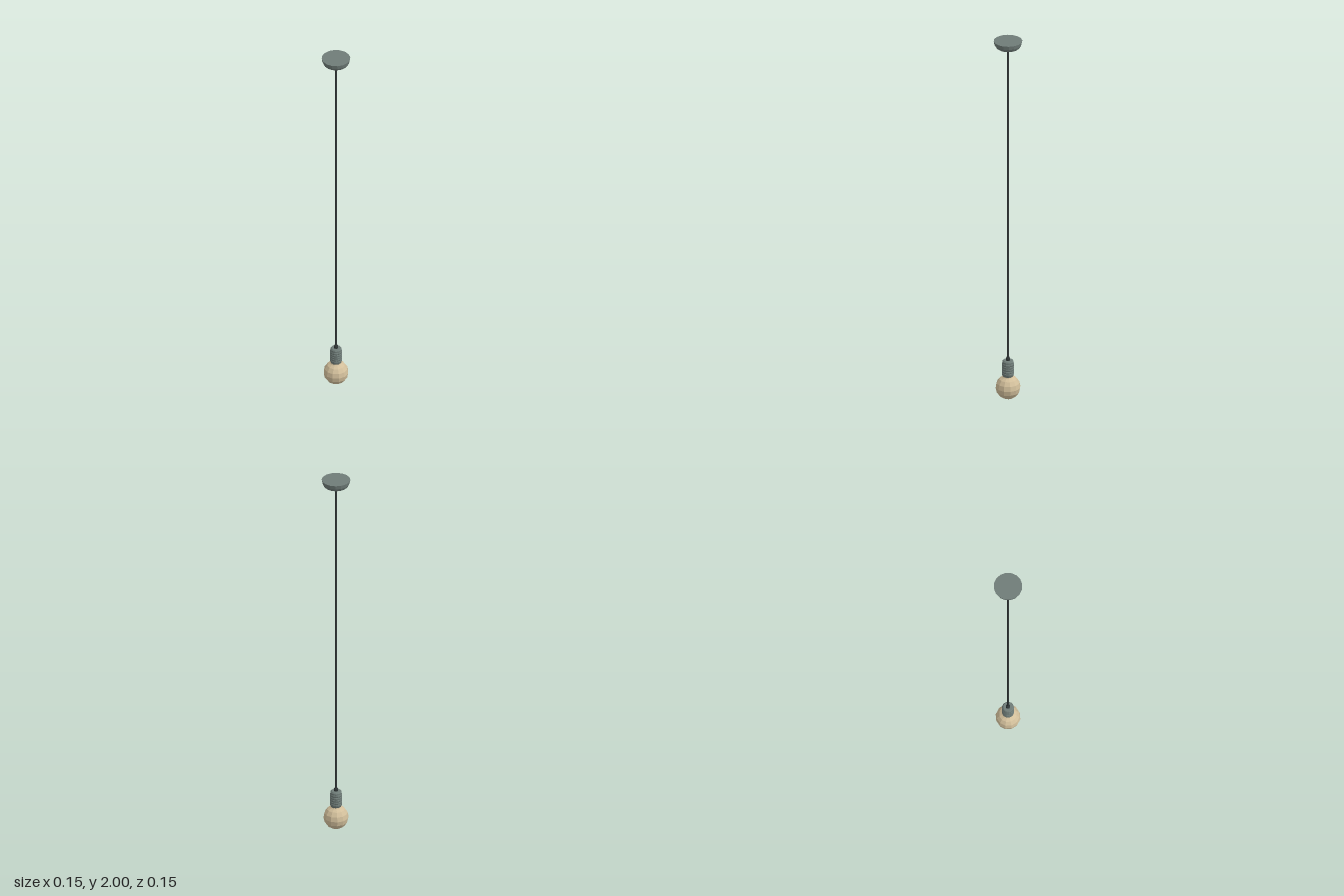
import * as THREE from 'three';

const material = (color) => new THREE.MeshStandardMaterial({ color, flatShading: true });

// Faceted turned part; profile runs from bottom to top as [radius, y]
function turned(name, profile, sides, mat) {
  const points = profile.map(([r, y]) => new THREE.Vector2(r, y));
  const mesh = new THREE.Mesh(new THREE.LatheGeometry(points, sides), mat);
  mesh.name = name;
  return mesh;
}

export function createModel() {
  const group = new THREE.Group();
  group.name = 'pendantLamp';
  const metal = material(0x6f7c78);
  const cable = material(0x303636);
  const glass = material(0xd2bf9b);

  // Ceiling canopy with a chamfered lower rim
  group.add(turned('canopy', [
    [0, 1.96], [0.052, 1.96], [0.062, 1.967], [0.069, 1.98], [0.073, 2], [0, 2],
  ], 16, metal));

  // Hanging cord
  const cord = new THREE.Mesh(new THREE.CylinderGeometry(0.0055, 0.0055, 1.75, 8), cable);
  cord.name = 'cord';
  cord.position.y = 1.09;
  group.add(cord);

  // Cord grip on top of the socket
  group.add(turned('cordGrip', [
    [0, 0.205], [0.011, 0.205], [0.011, 0.222], [0.008, 0.23], [0, 0.23],
  ], 10, cable));

  // Socket with shallow ribs
  const socket = [[0, 0.125], [0.026, 0.125], [0.029, 0.13]];
  for (let i = 0; i < 5; i++) {
    const y = 0.137 + i * 0.013;
    socket.push([0.031, y], [0.031, y + 0.006], [0.029, y + 0.0095]);
  }
  socket.push([0.029, 0.207], [0.024, 0.213], [0, 0.213]);
  group.add(turned('socket', socket, 16, metal));

  // Round bulb
  const bulb = new THREE.Mesh(new THREE.SphereGeometry(0.064, 12, 8), glass);
  bulb.name = 'bulb';
  bulb.position.y = 0.064;
  group.add(bulb);

  // Bulb neck reaching into the socket
  group.add(turned('bulbNeck', [[0.034, 0.116], [0.027, 0.123], [0.025, 0.135]], 12, glass));

  return group;
}
